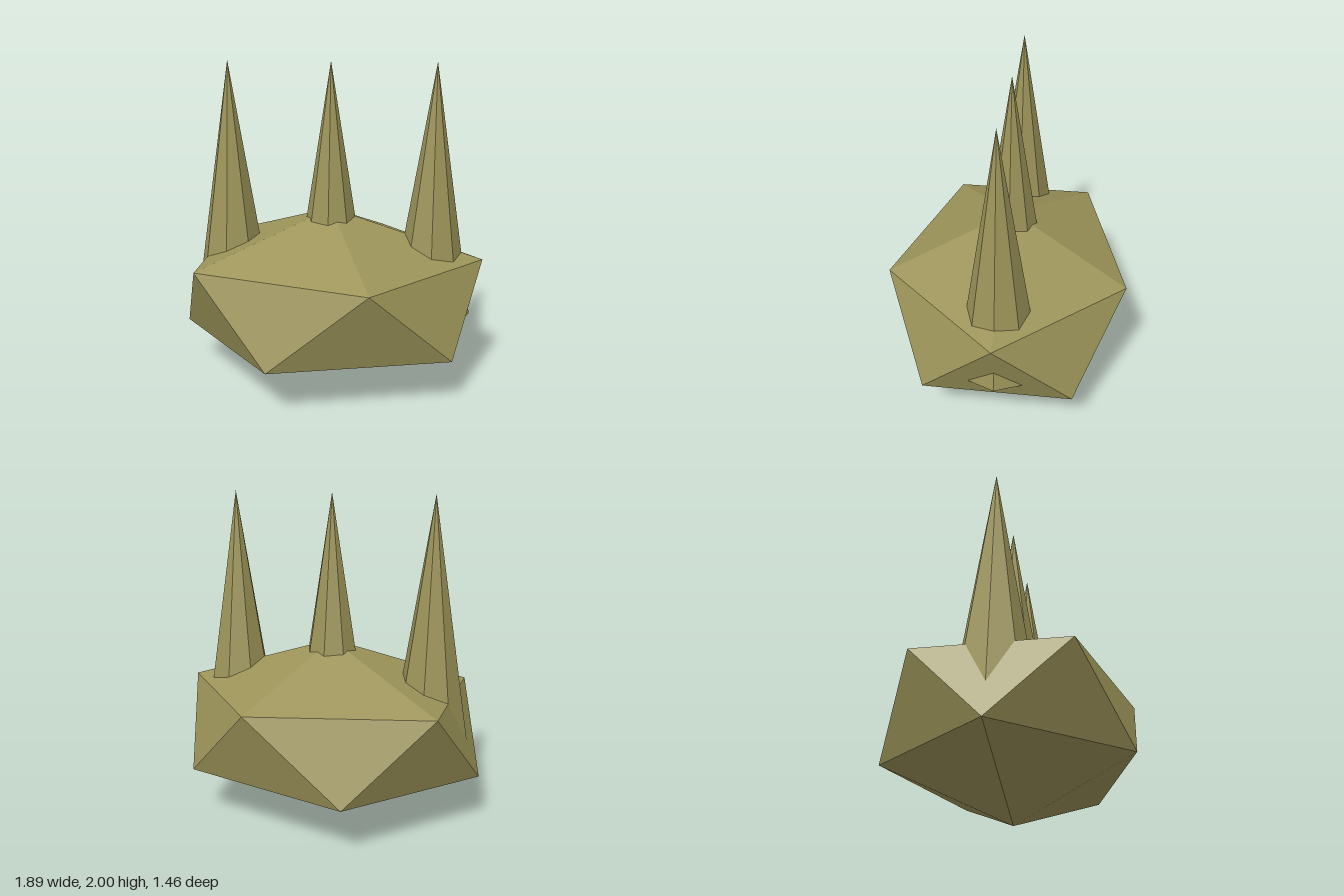
import * as THREE from 'three';

// Squashed twenty-sided body standing on one corner
function bodyGeometry() {
  const ring = (y, offset) => Array.from({ length: 5 }, (_, i) => {
    const a = (i + offset) * Math.PI * 2 / 5;
    return [0.945 * Math.cos(a), y, 0.767 * Math.sin(a)];
  });
  const upper = ring(0.797, 0), lower = ring(0.308, 0.5);
  const top = [0, 1.1, 0], foot = [0, 0, 0];
  const points = [];
  for (let i = 0; i < 5; i++) {
    const j = (i + 1) % 5;
    points.push(
      top, upper[j], upper[i],
      upper[i], upper[j], lower[i],
      lower[i], upper[j], lower[j],
      lower[i], lower[j], foot
    );
  }
  const geometry = new THREE.BufferGeometry();
  geometry.setAttribute('position', new THREE.Float32BufferAttribute(points.flat(), 3));
  geometry.computeVertexNormals();
  return geometry;
}

export function createModel() {
  const model = new THREE.Group();
  model.name = 'spikedRock';
  const olive = new THREE.MeshStandardMaterial({ color: 0x9c9459, flatShading: true });
  olive.name = 'olive';

  const body = new THREE.Mesh(bodyGeometry(), olive);
  body.name = 'body';
  model.add(body);

  // Three eight-sided spikes in a row, sunk into the body
  const base = 0.435, height = 2 - base;
  const spikeGeometry = new THREE.ConeGeometry(0.25, height, 8).toNonIndexed();
  spikeGeometry.computeVertexNormals();
  [['rightSpike', -0.628], ['middleSpike', 0], ['leftSpike', 0.628]].forEach(([name, x]) => {
    const spike = new THREE.Mesh(spikeGeometry, olive);
    spike.name = name;
    spike.position.set(x, base + height / 2, 0);
    model.add(spike);
  });

  return model;
}
